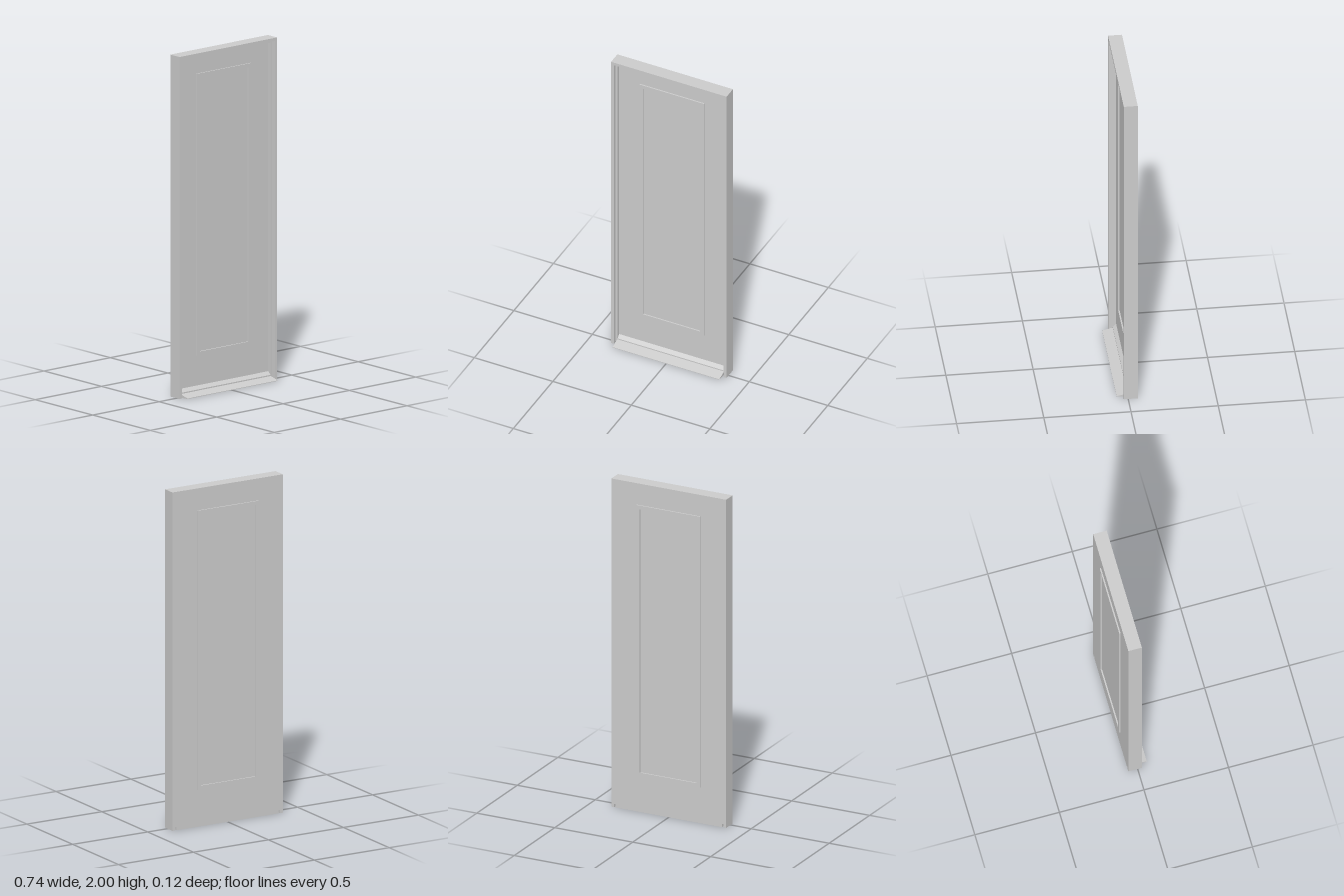
import * as THREE from 'three';

const mat = new THREE.MeshStandardMaterial({ color: 0xcccccc, flatShading: true });
const W = 0.368, H = 2, BACK = -0.055, FRONT = 0.025, LEAF = -0.018;
const JAMB = 0.018, STOP = 0.012;

function add(group, name, geometry) {
  const mesh = new THREE.Mesh(geometry, mat);
  mesh.name = name;
  group.add(mesh);
  return mesh;
}

function box(group, name, x0, x1, y0, y1, z0, z1) {
  const mesh = add(group, name, new THREE.BoxGeometry(x1 - x0, y1 - y0, z1 - z0));
  mesh.position.set((x0 + x1) / 2, (y0 + y1) / 2, (z0 + z1) / 2);
}

// Three-sided surround, open at the bottom
function surround(group, name, halfWidth, top, thickness, z0, z1) {
  const a = halfWidth, b = halfWidth - thickness, t = top - thickness;
  const shape = new THREE.Shape([
    [-a, 0], [-b, 0], [-b, t], [b, t], [b, 0], [a, 0], [a, top], [-a, top],
  ].map(p => new THREE.Vector2(...p)));
  const geometry = new THREE.ExtrudeGeometry(shape, { depth: z1 - z0, bevelEnabled: false });
  add(group, name, geometry.translate(0, 0, z0));
}

// Rectangular moulding ring around the raised panel
function moulding(group, name, z0, z1) {
  const rect = (a, y0, y1) => [[-a, y0], [a, y0], [a, y1], [-a, y1]].map(p => new THREE.Vector2(...p));
  const shape = new THREE.Shape(rect(0.205, 0.22, 1.87));
  shape.holes.push(new THREE.Path(rect(0.182, 0.243, 1.847).reverse()));
  const geometry = new THREE.ExtrudeGeometry(shape, { depth: z1 - z0, bevelEnabled: false });
  add(group, name, geometry.translate(0, 0, z0));
}

export function createModel() {
  const door = new THREE.Group();
  door.name = 'door';

  // Jambs and head, with the stop stepped inside them
  surround(door, 'frame', W, H, JAMB, BACK, FRONT);
  surround(door, 'doorStop', W - JAMB, H - JAMB, STOP, LEAF, 0.002);

  // Leaf, flush with the frame at the back
  const inner = W - JAMB;
  box(door, 'leaf', -inner, inner, 0.02, H - JAMB, BACK, LEAF);
  moulding(door, 'frontMoulding', LEAF, LEAF + 0.008);
  moulding(door, 'backMoulding', BACK - 0.008, BACK);

  // Sloping sill with a raised lip against the leaf, drawn as (z, y)
  const profile = new THREE.Shape([
    [BACK, 0], [0.03, 0], [0.062, 0.002], [0.062, 0.005], [0.025, 0.014],
    [0.002, 0.02], [0.002, 0.027], [LEAF, 0.045], [LEAF, 0.02], [BACK, 0.02],
  ].map(p => new THREE.Vector2(...p)));
  const halfSill = inner - STOP + 0.002;
  const sill = add(door, 'sill', new THREE.ExtrudeGeometry(profile, { depth: 2 * halfSill, bevelEnabled: false }));
  sill.rotation.y = -Math.PI / 2;
  sill.position.x = halfSill;

  return door;
}
